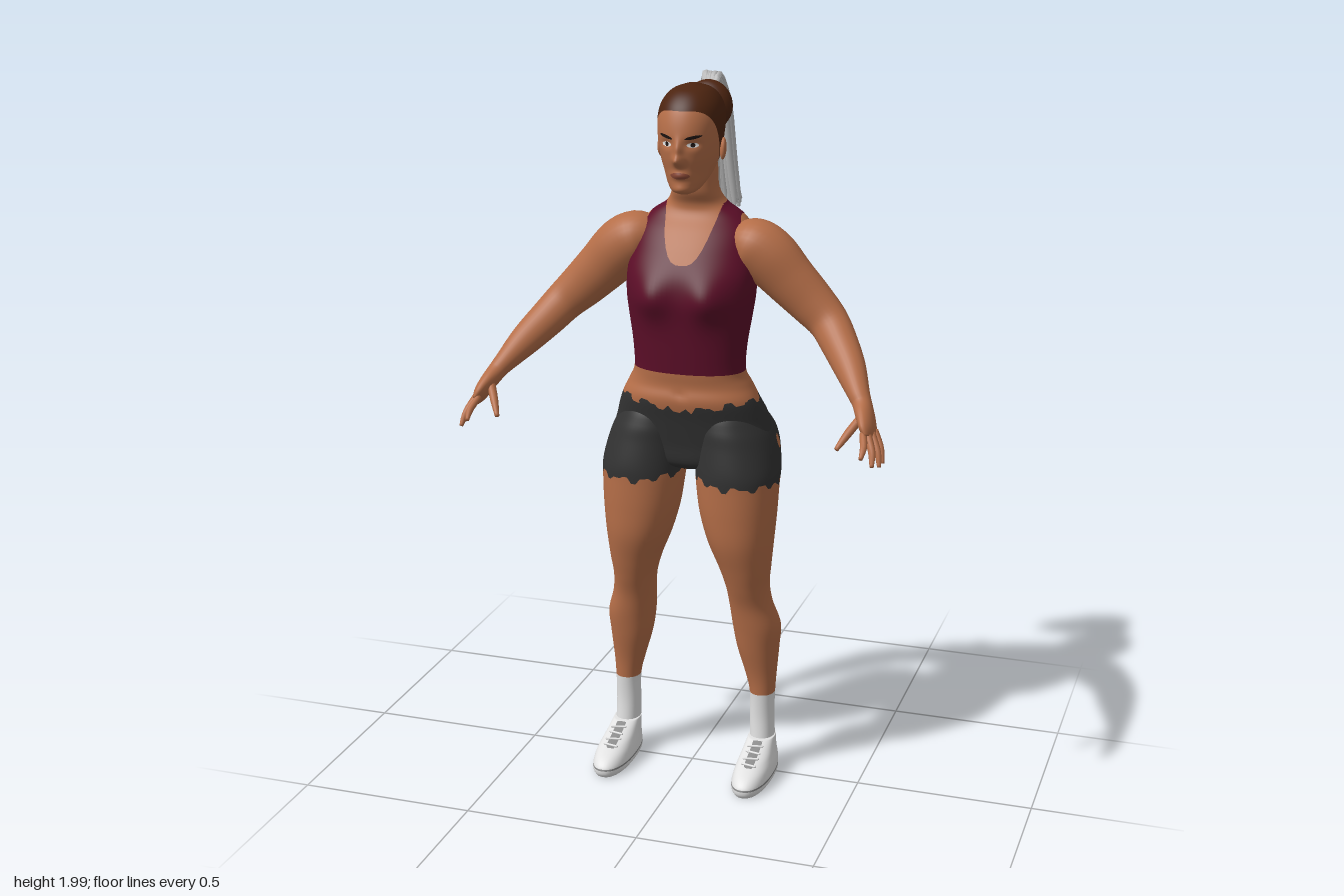
import * as THREE from 'three';

const mat = (name, color) => Object.assign(new THREE.MeshStandardMaterial({ color }), { name });
const { abs, min, max, sin, cos, sign, floor, hypot } = Math;

// Catmull-Rom blend of whole profile rows
function spline(rows, t) {
  const i = min(floor(t), rows.length - 2), f = t - i;
  const r = (k) => rows[max(0, min(rows.length - 1, k))];
  return rows[i].map((_, k) => {
    const a = r(i - 1)[k], b = r(i)[k], c = r(i + 1)[k], d = r(i + 2)[k];
    return b + 0.5 * f * (c - a + f * (2 * a - 5 * b + 4 * c - d + f * (3 * (b - c) + d - a)));
  });
}

// Closed skin through rows [x, y, z, radiusA, radiusB]; rings are level unless ref tilts them to the path.
// bumps: [x, y, spreadX, spreadY, push in z, side of the body (1 front, -1 back)]
function loft(rows, { n = 24, steps = 5, ref = null, pow = 2, bumps = [] } = {}) {
  const last = rows.length - 1, count = last * steps, pos = [], index = [];
  const at = (t) => spline(rows, max(0, min(last, t)));
  for (let i = -1; i <= count + 1; i++) {
    const t = max(0, min(count, i)) / steps, cap = i < 0 || i > count ? 0 : 1;
    const r = at(t), c = new THREE.Vector3(r[0], r[1], r[2]);
    const u = new THREE.Vector3(1, 0, 0), v = new THREE.Vector3(0, 0, -1);
    if (ref) {
      const p = at(t - 0.1), q = at(t + 0.1);
      const dir = new THREE.Vector3(q[0] - p[0], q[1] - p[1], q[2] - p[2]).normalize();
      u.crossVectors(ref, dir).normalize();
      v.crossVectors(dir, u);
    }
    for (let j = 0; j < n; j++) {
      const a = (j / n) * Math.PI * 2, ca = cos(a), sa = sin(a);
      const p = c.clone()
        .addScaledVector(u, cap * max(r[3], 0.0005) * sign(ca) * abs(ca) ** (2 / pow))
        .addScaledVector(v, cap * max(r[4], 0.0005) * sign(sa) * abs(sa) ** (2 / pow));
      let dz = 0;
      for (const [bx, by, sx, sy, push, face] of bumps) {
        const w = max(0, min(1, (p.z * face) / 0.05));
        dz += w * push * Math.exp(-(((p.x - bx) / sx) ** 2) - ((p.y - by) / sy) ** 2);
      }
      pos.push(p.x, p.y, p.z + dz);
    }
  }
  for (let i = 0; i < count + 2; i++) for (let j = 0; j < n; j++) {
    const a = i * n + j, b = i * n + ((j + 1) % n);
    index.push(a, b, a + n, b, b + n, a + n);
  }
  const g = new THREE.BufferGeometry();
  g.setAttribute('position', new THREE.Float32BufferAttribute(pos, 3));
  g.setIndex(index);
  g.computeVertexNormals();
  return g;
}

// Cuts a skin along f(x, y, z) = 0 and returns the part where f has the given sign
function cut(geo, f, side) {
  const g = geo.index ? geo.toNonIndexed() : geo;
  const P = g.attributes.position.array, N = g.attributes.normal.array, pos = [], nor = [];
  for (let t = 0; t < P.length; t += 9) {
    const poly = [], tri = [0, 3, 6].map((k) => {
      const o = t + k;
      return [f(P[o], P[o + 1], P[o + 2]) * side, ...P.slice(o, o + 3), ...N.slice(o, o + 3)];
    });
    tri.forEach((a, k) => {
      const b = tri[(k + 1) % 3];
      if (a[0] >= 0) poly.push(a);
      if (a[0] * b[0] < 0) poly.push(a.map((v, m) => v + (b[m] - v) * (a[0] / (a[0] - b[0]))));
    });
    for (let k = 1; k + 1 < poly.length; k++) for (const q of [poly[0], poly[k], poly[k + 1]]) {
      pos.push(q[1], q[2], q[3]);
      nor.push(q[4], q[5], q[6]);
    }
  }
  const out = new THREE.BufferGeometry();
  out.setAttribute('position', new THREE.Float32BufferAttribute(pos, 3));
  out.setAttribute('normal', new THREE.Float32BufferAttribute(nor, 3));
  return out;
}

export function createModel() {
  const model = new THREE.Group();
  const skin = mat('skin', 0xb56e48), wine = mat('wine fabric', 0x5c0e28), dark = mat('charcoal fabric', 0x323232);
  const brown = mat('brown hair', 0x4c2410), silver = mat('silver hair', 0xbcbcbc), white = mat('white', 0xe2e2e2);
  const grey = mat('grey trim', 0x8c8c8c), blue = mat('blue sole', 0x3d4f7c), black = mat('black', 0x1c1412), lip = mat('lip', 0x8a4836);
  const Z = new THREE.Vector3(0, 0, 1), X = new THREE.Vector3(1, 0, 0);
  const add = (name, geo, m, parent = model) => {
    const mesh = new THREE.Mesh(geo, m);
    mesh.name = name;
    parent.add(mesh);
    return mesh;
  };
  // Peels regions [name, material, f] off a skin one after the other
  const paint = (geo, regions, name, m) => {
    for (const [rn, rm, f] of regions) {
      add(rn, cut(geo, f, 1), rm);
      geo = cut(geo, f, -1);
    }
    add(name, geo, m);
  };
  const torn = (a) => [0, 0.016, 0.006, 0.02, 0.003, 0.012, 0.018][((floor(a * 2.3) % 7) + 7) % 7];

  // Torso and neck, with tank top and upper shorts
  const torso = loft([
    [0, 0.915, 0, 0.04, 0.04], [0, 0.94, 0, 0.13, 0.085], [0, 1.0, -0.01, 0.222, 0.105], [0, 1.07, -0.01, 0.216, 0.118],
    [0, 1.13, 0.01, 0.194, 0.11], [0, 1.17, 0.012, 0.174, 0.1], [0, 1.21, 0.02, 0.157, 0.095], [0, 1.28, 0.02, 0.16, 0.1],
    [0, 1.36, 0.015, 0.172, 0.11], [0, 1.42, 0.01, 0.18, 0.115], [0, 1.48, 0, 0.18, 0.118], [0, 1.54, -0.022, 0.172, 0.108],
    [0, 1.59, -0.04, 0.16, 0.09], [0, 1.63, -0.05, 0.128, 0.066], [0, 1.66, -0.048, 0.085, 0.058],
    [0, 1.7, -0.03, 0.064, 0.058], [0, 1.76, -0.025, 0.061, 0.056], [0, 1.8, -0.02, 0.055, 0.05],
  ], { n: 96, steps: 6, pow: 2.25, bumps: [
    [0.08, 1.42, 0.055, 0.055, 0.03, 1], [-0.08, 1.42, 0.055, 0.055, 0.03, 1],
    [0, 1.38, 0.025, 0.16, 0.012, -1], [0, 1.02, 0.02, 0.08, 0.02, -1], [0, 1.15, 0.015, 0.012, -0.004, 1],
  ] });
  paint(torso, [
    ['tankTop', wine, (x, y, z) => {
      const neck = z > -0.05 ? 1.51 + 0.14 * (abs(x) / 0.078) ** 3 : 1.625 + 0.04 * (x / 0.08) ** 2;
      return min(y - 1.21, neck - y, 1.665 - y, (y < 1.45 ? 1 : 0.19 - 0.35 * (y - 1.45)) - abs(x));
    }],
    ['shortsTop', dark, (x, y, z) => 1.095 + 0.15 * abs(x) + torn(Math.atan2(z, x) * 2.5) - y],
  ], 'torso', skin);

  // Head with painted hair, brows, eyes and lips
  const spot = (x, y, cx, cy, rx, ry) => 1 - hypot((x - cx) / rx, (y - cy) / ry);
  const head = loft([
    [0, 1.7, 0.07, 0.012, 0.012], [0, 1.71, 0.064, 0.034, 0.04], [0, 1.73, 0.045, 0.05, 0.064], [0, 1.76, 0.022, 0.064, 0.09],
    [0, 1.8, 0.013, 0.077, 0.107], [0, 1.85, 0.01, 0.085, 0.114], [0, 1.9, 0.004, 0.088, 0.111], [0, 1.94, 0, 0.078, 0.096],
    [0, 1.97, -0.002, 0.052, 0.064], [0, 1.985, -0.002, 0.012, 0.015],
  ], { n: 128, steps: 13, pow: 2.1, bumps: [
    [0, 1.797, 0.014, 0.014, 0.026, 1], [0, 1.825, 0.011, 0.024, 0.015, 1], [0, 1.755, 0.024, 0.011, 0.008, 1],
    [0, 1.718, 0.022, 0.014, 0.006, 1], [0.036, 1.84, 0.02, 0.012, -0.008, 1], [-0.036, 1.84, 0.02, 0.012, -0.008, 1],
  ] });
  paint(head, [
    ['hair', brown, (x, y, z) => y - 1.765 - 0.16 * THREE.MathUtils.smoothstep(z, -0.04, 0.1)],
    ['irises', black, (x, y, z) => (z < 0.03 ? -1 : spot(abs(x), y, 0.036, 1.838, 0.006, 0.006))],
    ['eyeWhites', white, (x, y, z) => (z < 0.03 ? -1 : spot(abs(x), y, 0.036, 1.838, 0.015, 0.0065))],
    ['brows', black, (x, y, z) => (z < 0.03 ? -1 : spot(abs(x), y - 0.2 * abs(x), 0.038, 1.851, 0.022, 0.0045))],
    ['lips', lip, (x, y, z) => (z < 0.03 ? -1 : spot(x, y, 0, 1.755, 0.027, 0.009))],
  ], 'head', skin);

  // Bun and loose ponytail strands
  const bun = add('bun', new THREE.SphereGeometry(1, 32, 20), brown);
  bun.scale.set(0.068, 0.07, 0.042);
  bun.position.set(0, 1.905, -0.143);
  const tail = new THREE.Group();
  tail.name = 'ponytail';
  model.add(tail);
  let seed = 7;
  const rnd = () => (seed = (seed * 16807) % 2147483647) / 2147483647;
  for (let k = 0; k < 46; k++) {
    const x = (rnd() - 0.5) * 0.075, q = rnd(), j = rnd() * 0.035;
    add('strand', loft([
      [x * 0.4, 1.94, -0.15, 0.004, 0.006], [x * 0.6, 1.972 + 0.018 * q, -0.172 - 0.012 * q, 0.005, 0.009],
      [x, 1.9, -0.185 - 0.055 * q, 0.005, 0.011], [x * 1.2, 1.76, -0.212 - 0.058 * q, 0.005, 0.011],
      [x * 1.4, 1.66, -0.232 - 0.055 * q, 0.004, 0.01], [x * 1.4 + j * 0.3, 1.59 + j, -0.24 - 0.057 * q, 0.002, 0.005],
    ], { n: 6, steps: 3, ref: X }), silver, tail);
  }

  for (const s of [1, -1]) {
    const side = s > 0 ? 'left' : 'right', flip = (rows) => rows.map(([x, ...r]) => [x * s, ...r]);

    // Ear
    const ear = add(side + 'Ear', new THREE.SphereGeometry(1, 16, 12), skin);
    ear.scale.set(0.009, 0.03, 0.018);
    ear.position.set(0.086 * s, 1.815, 0);
    ear.rotation.set(-0.15, 0.3 * s, 0);

    // Arm and palm
    add(side + 'Arm', loft(flip([
      [0.11, 1.56, -0.03, 0.045, 0.05], [0.16, 1.553, -0.028, 0.074, 0.078], [0.21, 1.522, -0.025, 0.081, 0.074],
      [0.27, 1.463, -0.025, 0.073, 0.06], [0.33, 1.405, -0.026, 0.065, 0.053], [0.38, 1.358, -0.016, 0.057, 0.048],
      [0.42, 1.312, 0.02, 0.052, 0.046], [0.465, 1.26, 0.075, 0.044, 0.04], [0.505, 1.208, 0.135, 0.03, 0.03],
      [0.52, 1.187, 0.155, 0.026, 0.027], [0.536, 1.16, 0.183, 0.023, 0.037], [0.55, 1.132, 0.208, 0.018, 0.042],
      [0.558, 1.115, 0.222, 0.009, 0.032],
    ]), { n: 28, ref: Z }), skin);

    // Fingers and thumb: base, knuckle, tip, thickness
    const fingers = [
      [0.564, 1.13, 0.19, 0.585, 1.09, 0.208, 0.594, 1.052, 0.222, 0.0085], [0.56, 1.128, 0.208, 0.582, 1.085, 0.233, 0.591, 1.05, 0.25, 0.0095],
      [0.553, 1.128, 0.225, 0.572, 1.09, 0.257, 0.578, 1.058, 0.28, 0.01], [0.543, 1.13, 0.235, 0.553, 1.105, 0.272, 0.552, 1.082, 0.298, 0.0095],
      [0.528, 1.165, 0.185, 0.5, 1.125, 0.228, 0.478, 1.09, 0.262, 0.011],
    ];
    for (const f of fingers) {
      const r = f[9];
      add(side + 'Finger', loft(flip([[...f.slice(0, 3), r, r * 1.2], [...f.slice(3, 6), r, r], [...f.slice(6, 9), r * 0.55, r * 0.6]]),
        { n: 10, ref: Z }), skin);
    }

    // Leg with torn short leg and sock
    const leg = loft(flip([
      [0.207, 0.08, -0.025, 0.036, 0.045], [0.205, 0.16, -0.025, 0.035, 0.038], [0.205, 0.24, -0.025, 0.036, 0.041],
      [0.2, 0.3, -0.025, 0.045, 0.047], [0.192, 0.38, -0.022, 0.06, 0.061], [0.188, 0.45, -0.018, 0.068, 0.07],
      [0.175, 0.52, -0.003, 0.061, 0.067], [0.168, 0.58, 0.01, 0.061, 0.073], [0.162, 0.64, 0.018, 0.073, 0.083],
      [0.15, 0.72, 0.022, 0.093, 0.1], [0.142, 0.8, 0.02, 0.108, 0.108], [0.138, 0.88, 0.015, 0.116, 0.114],
      [0.136, 0.93, 0.004, 0.119, 0.124], [0.125, 1.0, -0.02, 0.116, 0.136], [0.113, 1.05, -0.023, 0.106, 0.13],
      [0.1, 1.1, -0.008, 0.078, 0.09], [0.1, 1.12, 0, 0.01, 0.01],
    ]), { n: 64, steps: 6, pow: 2.1 });
    // hip tears: two patches joined by a thin slit
    const tear = (x, y, z) => (x * s < 0.13 ? -1 : max(spot(z, y, -0.035, 1.0, 0.014, 0.022),
      spot(z, y, -0.112, 0.997, 0.016, 0.026), spot(z, y, -0.075, 0.984, 0.045, 0.005)));
    paint(leg, [
      [side + 'ShortLeg', dark, (x, y, z) =>
        min(y - 0.885 - torn(Math.atan2(z, x * s - 0.137) * 2) - 0.15 * max(0, 0.1 - x * s), -0.05 * tear(x, y, z))],
      [side + 'Sock', white, (x, y) => 0.24 - y],
    ], side + 'Leg', skin);

    // Shoe with grey tongue, sole line and blue tread
    const shoe = loft(flip([
      [0.21, 0, 0.063, 0.046, 0.13], [0.21, 0.012, 0.0625, 0.054, 0.137], [0.21, 0.03, 0.0615, 0.054, 0.136],
      [0.21, 0.05, 0.05, 0.051, 0.124], [0.209, 0.068, 0.03, 0.046, 0.101], [0.208, 0.085, 0.005, 0.042, 0.073],
      [0.207, 0.105, -0.02, 0.038, 0.046],
    ]), { n: 48, steps: 5, pow: 2.3 });
    paint(shoe, [
      [side + 'Tread', blue, (x, y, z) => min(0.002 - y, 0.02 * spot(x * s, z, 0.21, 0.1, 0.036, 0.07))],
      [side + 'SoleLine', grey, (x, y) => 0.0025 - abs(y - 0.024)],
      [side + 'Tongue', grey, (x, y, z) => min(0.014 - abs(x * s - 0.209), y - 0.066, z - 0.03)],
    ], side + 'Shoe', white);
    for (let k = 0; k < 4; k++) {
      const lace = add(side + 'Lace', new THREE.CapsuleGeometry(0.0035, 0.04, 4, 8), white);
      lace.position.set(0.209 * s, 0.072 + k * 0.009, 0.127 - k * 0.023);
      lace.rotation.set(0, 0.2 * (k % 2 ? 1 : -1), Math.PI / 2);
    }
  }
  return model;
}
